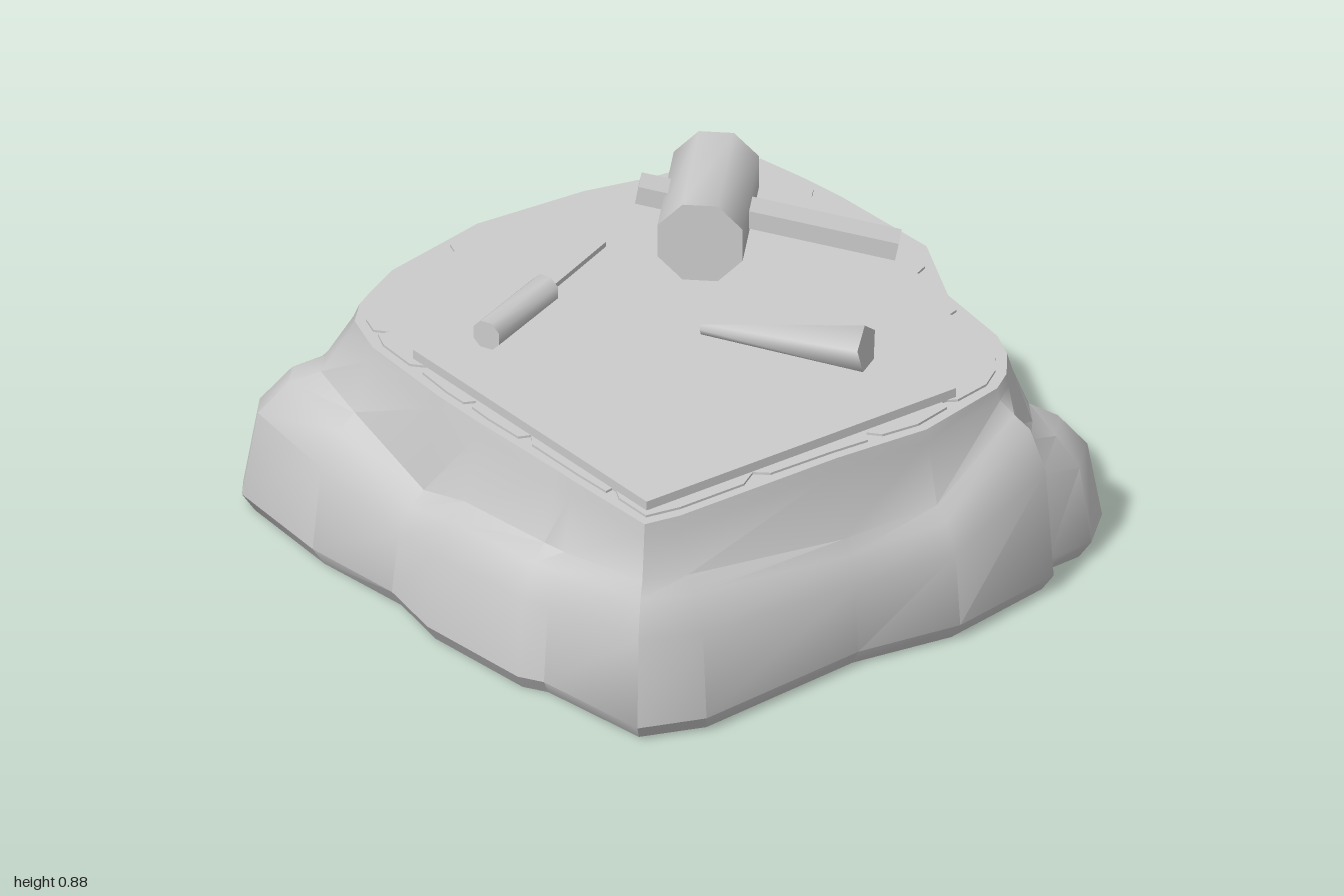
import * as THREE from 'three';
import { toCreasedNormals } from 'three/addons/utils/BufferGeometryUtils.js';

const material = new THREE.MeshStandardMaterial({ color: 0xcccccc, roughness: 0.9 });
const TOP = 0.635;

// Rock columns, clockwise from the back: foot x, foot z, ledge height, rim x, rim z
const columns = [
  [-0.48, -1, 0.4, -0.45, -0.77], [0, -0.98, 0.38, -0.1, -0.84], [0.33, -0.93, 0.4, 0.25, -0.81],
  [0.56, -0.975, 0.36, 0.45, -0.76], [0.78, -0.91, 0.38, 0.66, -0.73], [0.85, -0.86, 0.42, 0.76, -0.66],
  [0.88, -0.6, 0.3, 0.79, -0.5], [0.93, -0.37, 0.24, 0.81, -0.35], [0.97, 0.04, 0.25, 0.83, 0.02],
  [0.9, 0.3, 0.28, 0.71, 0.28], [0.92, 0.72, 0.37, 0.68, 0.55], [0.8, 0.83, 0.38, 0.64, 0.65],
  [0.64, 0.84, 0.43, 0.57, 0.74], [0.6, 0.92, 0.51, 0.5, 0.79], [0.22, 0.99, 0.36, 0.2, 0.86],
  [-0.1, 0.94, 0.34, -0.1, 0.84], [-0.67, 0.99, 0.42, -0.65, 0.84], [-0.86, 0.92, 0.43, -0.76, 0.82],
  [-0.91, 0.55, 0.38, -0.77, 0.5], [-0.95, 0.48, 0.38, -0.77, 0.42], [-0.98, 0.1, 0.36, -0.78, 0.08],
  [-0.94, -0.12, 0.3, -0.78, -0.12], [-0.97, -0.45, 0.4, -0.76, -0.45], [-0.94, -0.82, 0.42, -0.71, -0.6],
  [-0.89, -0.88, 0.42, -0.64, -0.67], [-0.72, -0.9, 0.4, -0.57, -0.71],
];

function rockGeometry() {
  // Each ring: height from the ledge height, and blend from foot to rim outline
  const rings = [
    [() => 0, -0.02, 0.965], [() => 0.05, 0, 1], [(l) => l * 0.75, 0.14, 1], [(l) => l, 0.42, 1],
    [(l) => l + 0.04, 0.7, 1], [() => 0.59, 0.95, 1], [() => TOP - 0.007, 1, 1],
  ];
  const n = columns.length, pos = [], index = [];
  for (const [height, t, scale] of rings) {
    for (const [fx, fz, ledge, rx, rz] of columns) {
      pos.push(THREE.MathUtils.lerp(fx, rx, t) * scale, height(ledge), THREE.MathUtils.lerp(fz, rz, t) * scale);
    }
  }
  for (let r = 0; r < rings.length - 1; r++) {
    for (let i = 0; i < n; i++) {
      const a = r * n + i, b = r * n + (i + 1) % n;
      index.push(a, a + n, b, b, a + n, b + n);
    }
  }
  // Bottom and top caps
  const bottom = pos.length / 3, last = (rings.length - 1) * n;
  pos.push(0, 0, 0, 0, TOP - 0.007, 0);
  for (let i = 0; i < n; i++) {
    const j = (i + 1) % n;
    index.push(bottom, i, j, bottom + 1, last + j, last + i);
  }
  const geometry = new THREE.BufferGeometry();
  geometry.setAttribute('position', new THREE.Float32BufferAttribute(pos, 3));
  geometry.setIndex(index);
  return toCreasedNormals(geometry, 0.65);
}

// Flat slab from an outline of [x, z] points
function slab(points, y, height) {
  const shape = new THREE.Shape(points.map(([x, z]) => new THREE.Vector2(x, -z)));
  return new THREE.ExtrudeGeometry(shape, { depth: height, bevelEnabled: false })
    .rotateX(-Math.PI / 2).translate(0, y, 0);
}

// Chipped outline that follows the rim, with a small notch in each span
function chippedOutline() {
  const points = [];
  columns.forEach(([, , , x, z], i) => {
    const next = columns[(i + 1) % columns.length];
    const length = Math.hypot(next[3] - x, next[4] - z);
    points.push([x * 0.965, z * 0.965]);
    if (length < 0.15) return;
    for (const [t, s] of [[0.4, 0.96], [0.5, 0.92], [0.58, 0.965]]) {
      points.push([THREE.MathUtils.lerp(x, next[3], t) * s, THREE.MathUtils.lerp(z, next[4], t) * s]);
    }
  });
  return points;
}

export function createModel() {
  const model = new THREE.Group();
  function add(parent, name, geometry) {
    const mesh = new THREE.Mesh(geometry, material);
    mesh.name = name;
    parent.add(mesh);
    return mesh;
  }
  function group(name) {
    const g = new THREE.Group();
    g.name = name;
    model.add(g);
    return g;
  }
  // Lay a part between two points; its geometry runs along z
  function between(parent, name, from, to, makeGeometry) {
    const a = new THREE.Vector3(...from), b = new THREE.Vector3(...to);
    const mesh = add(parent, name, makeGeometry(a.distanceTo(b)));
    mesh.position.copy(a).add(b).multiplyScalar(0.5);
    mesh.lookAt(b);
  }
  const rod = (endRadius, startRadius, sides, turn, crease) => (length) => toCreasedNormals(
    new THREE.CylinderGeometry(endRadius, startRadius, length, sides, 1, false, turn).rotateX(Math.PI / 2), crease);
  const bar = (width, height) => (length) => new THREE.BoxGeometry(width, height, length);

  // Boulder with a flat, chipped work surface
  add(model, 'rock', rockGeometry());
  add(model, 'workSurface', slab(chippedOutline(), TOP - 0.03, 0.03));

  // L-shaped measuring square
  add(model, 'measuringSquare', slab([
    [-0.715, -0.32], [-0.61, -0.32], [-0.61, 0.665], [0.37, 0.665], [0.37, 0.77], [-0.715, 0.77],
  ], TOP - 0.005, 0.033));

  // Mallet leaning on the end of its handle
  const mallet = group('mallet');
  between(mallet, 'malletHead', [0.4875, 0.755, -0.505], [0.1975, 0.755, -0.195],
    rod(0.13, 0.13, 8, Math.PI / 8, 0.9));
  between(mallet, 'malletHandle', [0.195, 0.805, -0.48], [0.735, 0.662, 0.015], bar(0.085, 0.055));

  // Slim chisel
  const chisel = group('chisel');
  between(chisel, 'chiselHandle', [-0.515, 0.675, -0.245], [-0.222, 0.675, -0.36],
    rod(0.046, 0.046, 8, Math.PI / 8, 0.9));
  between(chisel, 'chiselBlade', [-0.23, 0.672, -0.357], [0.065, 0.672, -0.48], bar(0.03, 0.015));

  // Five-sided tapered punch
  between(model, 'punch', [0.015, 0.652, 0.055], [0.275, 0.695, 0.48], rod(0.07, 0.015, 5, Math.PI, 1.3));

  return model;
}
